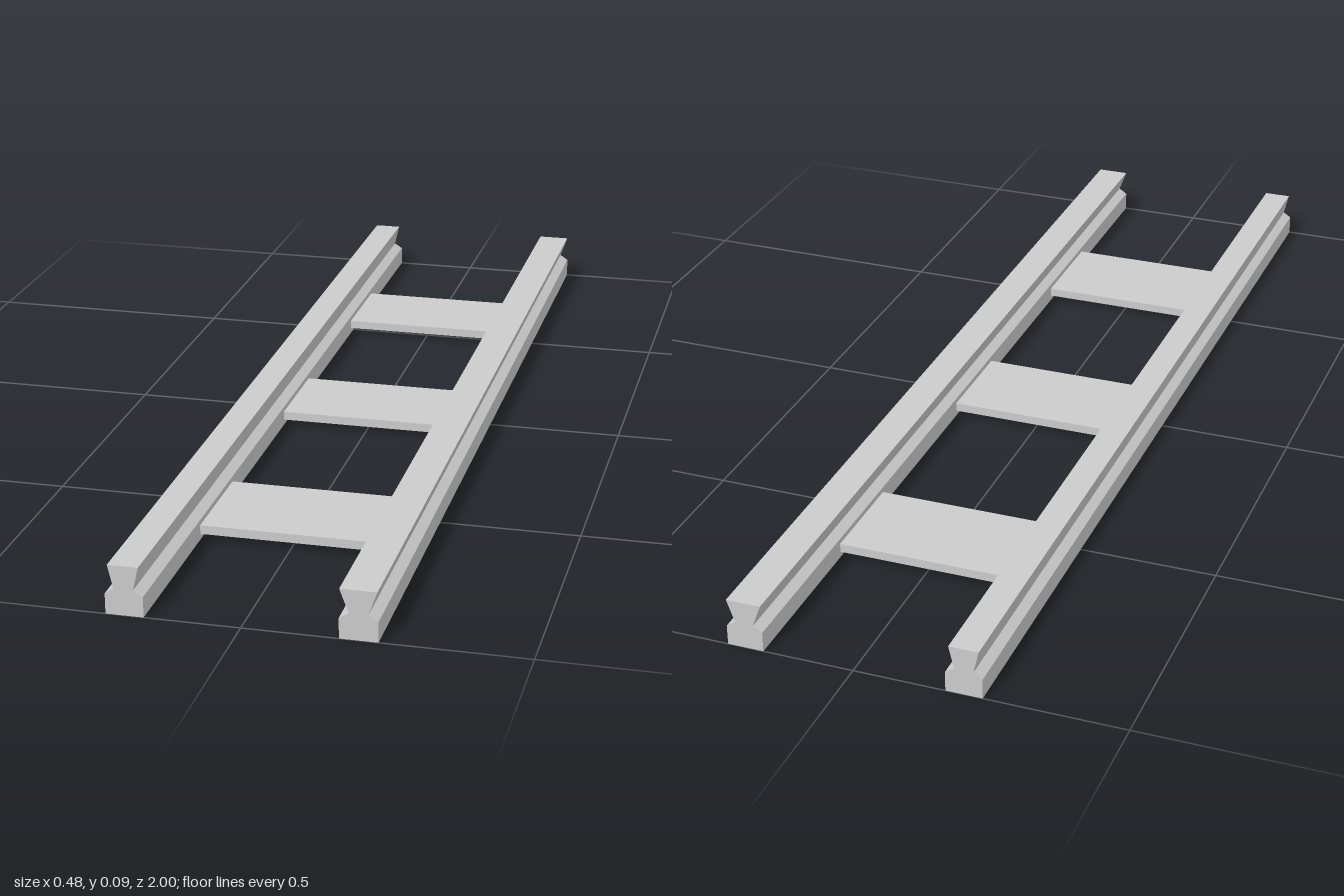
import * as THREE from 'three';

const material = new THREE.MeshStandardMaterial({ color: 0xcccccc, flatShading: true });

// Rail: a constant cross-section (x, y) swept along z
function makeRail(name, section) {
  const shape = new THREE.Shape(section.map(([x, y]) => new THREE.Vector2(x, y)));
  const geometry = new THREE.ExtrudeGeometry(shape, { depth: 2, bevelEnabled: false });
  geometry.translate(0, 0, -1);
  const rail = new THREE.Mesh(geometry, material);
  rail.name = name;
  return rail;
}

// Tie: a thin flat plate between the rails, from zBack to zFront
function makeTie(name, zBack, zFront) {
  const tie = new THREE.Mesh(new THREE.BoxGeometry(0.345, 0.017, zFront - zBack), material);
  tie.position.set(0, 0.0195, (zBack + zFront) / 2);
  tie.name = name;
  return tie;
}

export function createModel() {
  const track = new THREE.Group();
  track.name = 'track';

  // Wide foot, narrow waist, flared head; the left head is slightly wider
  track.add(makeRail('rightRail', [
    [-0.239, 0], [-0.171, 0], [-0.171, 0.038], [-0.188, 0.049],
    [-0.178, 0.092], [-0.233, 0.092], [-0.223, 0.049], [-0.239, 0.038],
  ]));
  track.add(makeRail('leftRail', [
    [0.170, 0], [0.238, 0], [0.238, 0.038], [0.221, 0.049],
    [0.236, 0.092], [0.171, 0.092], [0.187, 0.049], [0.170, 0.038],
  ]));

  // Cross ties
  track.add(makeTie('backTie', -0.675, -0.477));
  track.add(makeTie('middleTie', -0.102, 0.096));
  track.add(makeTie('frontTie', 0.465, 0.673));
  return track;
}
